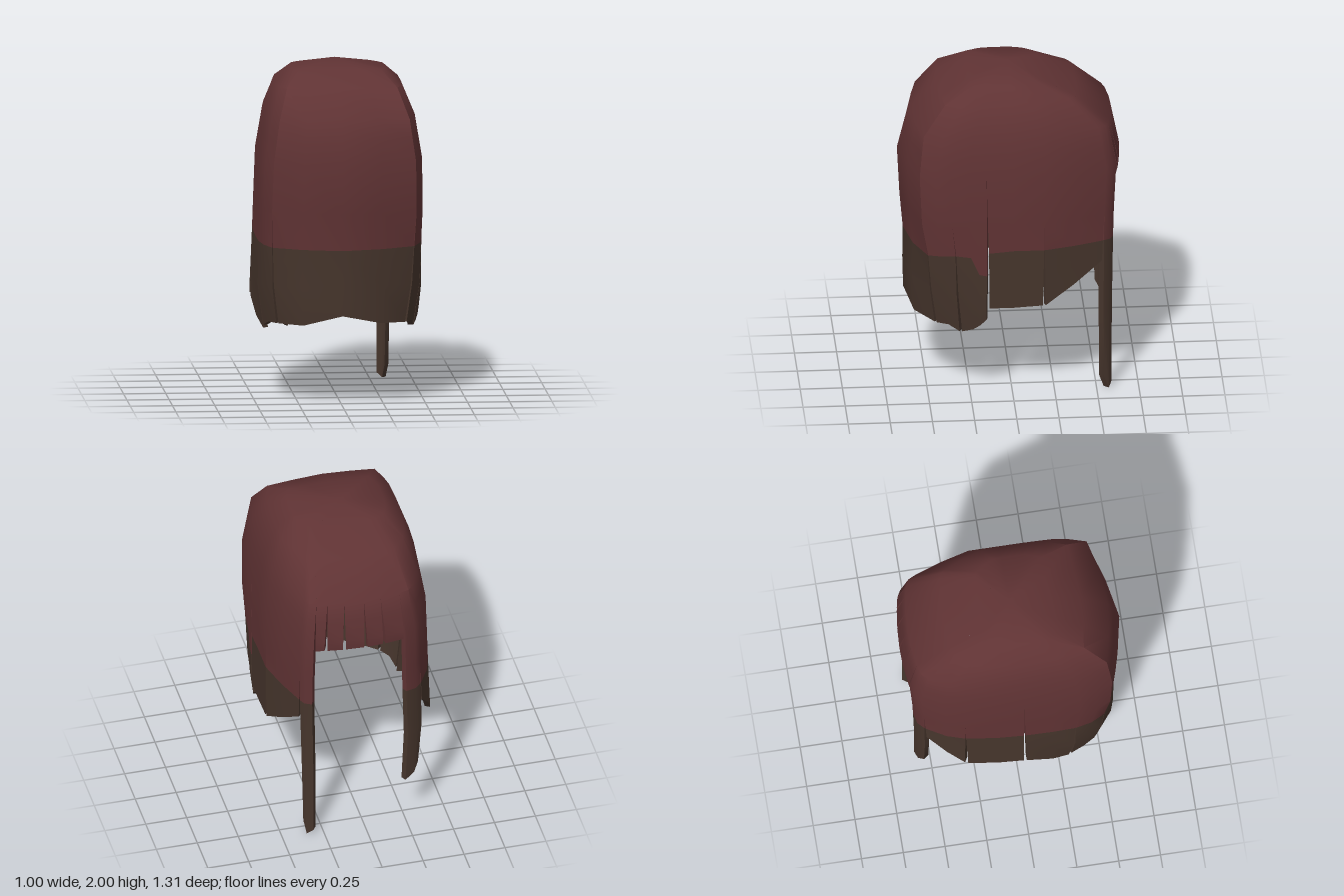
import * as THREE from 'three';
import { toCreasedNormals } from 'three/addons/utils/BufferGeometryUtils.js';

const THICK = 0.032, GAP = 0.01;

// Height, reach to +x, -x, +z and -z
const RINGS = [
  [2.0, 0, 0, 0, 0], [1.955, 0.29, 0.27, 0.25, 0.18], [1.87, 0.385, 0.365, 0.43, 0.39],
  [1.7, 0.455, 0.425, 0.59, 0.595], [1.45, 0.495, 0.468, 0.66, 0.645], [1.15, 0.5, 0.48, 0.645, 0.63],
  [0.95, 0.5, 0.487, 0.625, 0.625], [0.6, 0.5, 0.503, 0.63, 0.62], [0.43, 0.47, 0.47, 0.61, 0.62],
  [0, 0.48, 0.47, 0.6, 0.62],
];
const ROW_Y = [2.0, 1.955, 1.87, 1.7, 1.58, 1.45, 1.15];

// Locks in order around the head: columns of [x, z, hem height, colour change if special],
// and the top of the slit after the lock
const LOCKS = [
  { name: 'napePanel', slit: 1.17, cols: [[-0.43, 0.55, 0.48], [-0.24, 0.61, 0.48], [0, 0.655, 0.54], [0.24, 0.61, 0.49], [0.445, 0.55, 0.48]] },
  { name: 'leftRearLock', slit: 1.1, cols: [[0.445, 0.55, 0.48], [0.482, 0.46, 0.48], [0.495, 0.37, 0.44]] },
  { name: 'leftPointedLock', slit: 1.44, cols: [[0.495, 0.37, 0.44], [0.498, 0.27, 0.46, 0.94], [0.499, 0.215, 0.49, 0.83], [0.5, 0.16, 0.53, 0.82]] },
  { name: 'leftMiddleLock', slit: 1.08, cols: [[0.5, 0.16, 0.61], [0.5, 0, 0.61], [0.5, -0.19, 0.62]] },
  { name: 'leftCheekLock', slit: 1.15, cols: [[0.5, -0.19, 0.62], [0.45, -0.38, 0.73], [0.385, -0.565, 0.85]] },
  { name: 'leftLongStrand', slit: 1.7, cols: [[0.385, -0.565, 0.08], [0.365, -0.605, 0], [0.32, -0.629, 0.03]] },
  ...fringe([0.32, 0.25, 0.14, 0.01, -0.11, -0.25]),
  { name: 'rightLongStrand', slit: 1.15, cols: [[-0.25, -0.643, 0.31], [-0.32, -0.625, 0.35], [-0.36, -0.585, 0.4]] },
  { name: 'rightCheekLock', slit: 1.1, cols: [[-0.36, -0.585, 0.85], [-0.43, -0.46, 0.73], [-0.465, -0.345, 0.61]] },
  { name: 'rightMiddleLock', slit: 1.3, cols: [[-0.465, -0.345, 0.6], [-0.49, -0.15, 0.6], [-0.5, 0.02, 0.6]] },
  { name: 'rightPointedLock', slit: 1.1, cols: [[-0.5, 0.02, 0.59], [-0.497, 0.2, 0.49], [-0.495, 0.35, 0.43]] },
  { name: 'rightRearLock', slit: 1.1, cols: [[-0.495, 0.35, 0.45], [-0.475, 0.46, 0.48], [-0.43, 0.55, 0.48]] },
];

// Short fringe locks between neighbouring x positions
function fringe(xs) {
  const column = (x) => [x, -0.665 + 0.35 * x * x, 1.39];
  return xs.slice(1).map((x, i) => ({ name: 'fringeLock' + (i + 1), slit: 1.7, cols: [column(xs[i]), column(x)] }));
}

function ringAt(y) {
  let i = 0;
  while (i < RINGS.length - 2 && y < RINGS[i + 1][0]) i++;
  const a = RINGS[i], b = RINGS[i + 1], t = (a[0] - y) / (a[0] - b[0]);
  return [1, 2, 3, 4].map((k) => a[k] + (b[k] - a[k]) * t);
}

// Point on the shell; inset moves it to the inner surface
function shellPoint(x, z, y, inset) {
  const { clamp } = THREE.MathUtils;
  const [xl, xr, zf, zb] = ringAt(y).map((r) => Math.max(0, r - inset));
  const rise = clamp((y - 1.45) / 0.4, 0, 1);
  // The nape side is pointed in plan below and flatter towards the crown
  const plan = z > 0.5 ? z + (0.655 - z) * 0.55 * rise : z;
  // The locks at the nape corners lean inwards towards their tips
  const lean = clamp((1.15 - y) / 0.7, 0, 1) * clamp((z - 0.2) / 0.3, 0, 1) * clamp((Math.abs(x) - 0.24) / 0.18, 0, 1);
  return new THREE.Vector3(
    (x / 0.5) * (x > 0 ? xl : xr) * (1 - 0.09 * lean),
    y - inset * rise,
    (plan / 0.655) * (z > 0 ? zf : zb) - 0.06 * lean,
  );
}

// Heights down one column; the colour changes at row ROW_Y.length
function columnHeights([, z, hem, special]) {
  const change = special ?? 0.98 - 0.05 * Math.max(0, z / 0.655);
  const lower = [0, 0.5, 1].map((t) => change + (Math.min(hem, change) - change) * t);
  return [...ROW_Y, ...lower].map((y) => Math.max(y, hem));
}

// One column of points; at a slit it draws towards its neighbour below the top of the slit
function columnPoints(col, neighbour, slit, inset) {
  const [x, z, hem] = col;
  return columnHeights(col).map((y) => {
    let dx = 0, dz = 0;
    if (neighbour && y < slit) {
      const ex = neighbour[0] - x, ez = neighbour[1] - z;
      const k = (GAP * (slit - y)) / (slit - hem) / Math.hypot(ex, ez);
      dx = ex * k;
      dz = ez * k;
    }
    return shellPoint(x + dx, z + dz, y, inset);
  });
}

function addQuad(out, a, b, c, d) {
  for (const [p, q, r] of [[a, b, c], [a, c, d]]) {
    const area = q.clone().sub(p).cross(r.clone().sub(p)).length();
    if (area > 1e-7) for (const v of [p, q, r]) out.push(v.x, v.y, v.z);
  }
}

// Outer face, inner face, hem and slit walls of a lock, for a range of rows
function addLock(out, lock, slitBefore, from, to) {
  const { cols, slit } = lock, n = cols.length - 1;
  const grid = (inset) => cols.map((c, j) =>
    columnPoints(c, j === 0 ? cols[1] : j === n ? cols[n - 1] : null, j === 0 ? slitBefore : slit, inset));
  const P = grid(0), Q = grid(THICK);
  const last = P[0].length - 1;
  for (let i = from; i < to; i++) {
    for (let j = 0; j < n; j++) {
      addQuad(out, P[j][i], P[j][i + 1], P[j + 1][i + 1], P[j + 1][i]);
      addQuad(out, Q[j][i], Q[j + 1][i], Q[j + 1][i + 1], Q[j][i + 1]);
    }
    if (P[0][i + 1].y < slitBefore) addQuad(out, P[0][i], Q[0][i], Q[0][i + 1], P[0][i + 1]);
    if (P[n][i + 1].y < slit) addQuad(out, P[n][i], P[n][i + 1], Q[n][i + 1], Q[n][i]);
  }
  const short = cols[0][2] > 1;
  if (short ? from === 0 : to === last) {
    for (let j = 0; j < n; j++) addQuad(out, P[j][last], Q[j][last], Q[j + 1][last], P[j + 1][last]);
  }
}

export function createModel() {
  const hair = new THREE.MeshStandardMaterial({ color: 0x603334 });
  hair.name = 'auburn hair';
  const tips = new THREE.MeshStandardMaterial({ color: 0x46352c });
  tips.name = 'brown tips';

  // All locks share one shell, so the normals run smoothly across them
  const out = [], parts = [];
  const split = ROW_Y.length, rows = split + 2;
  LOCKS.forEach((lock, k) => {
    const before = LOCKS[(k + LOCKS.length - 1) % LOCKS.length].slit;
    for (const [from, to, mat] of [[0, split, hair], [split, rows, tips]]) {
      const start = out.length;
      addLock(out, lock, before, from, to);
      if (out.length > start) parts.push({ name: lock.name, mat, start, end: out.length });
    }
  });
  let shell = new THREE.BufferGeometry();
  shell.setAttribute('position', new THREE.Float32BufferAttribute(out, 3));
  shell = toCreasedNormals(shell, 0.7);

  // Cut the shell into named locks, each with its upper hair and tips
  const model = new THREE.Group();
  model.name = 'hair';
  for (const { name, mat, start, end } of parts) {
    const geo = new THREE.BufferGeometry();
    for (const key of ['position', 'normal']) {
      geo.setAttribute(key, new THREE.BufferAttribute(shell.attributes[key].array.slice(start, end), 3));
    }
    const mesh = new THREE.Mesh(geo, mat);
    mesh.name = mat === tips ? name + 'Tips' : name;
    model.add(mesh);
  }
  return model;
}
